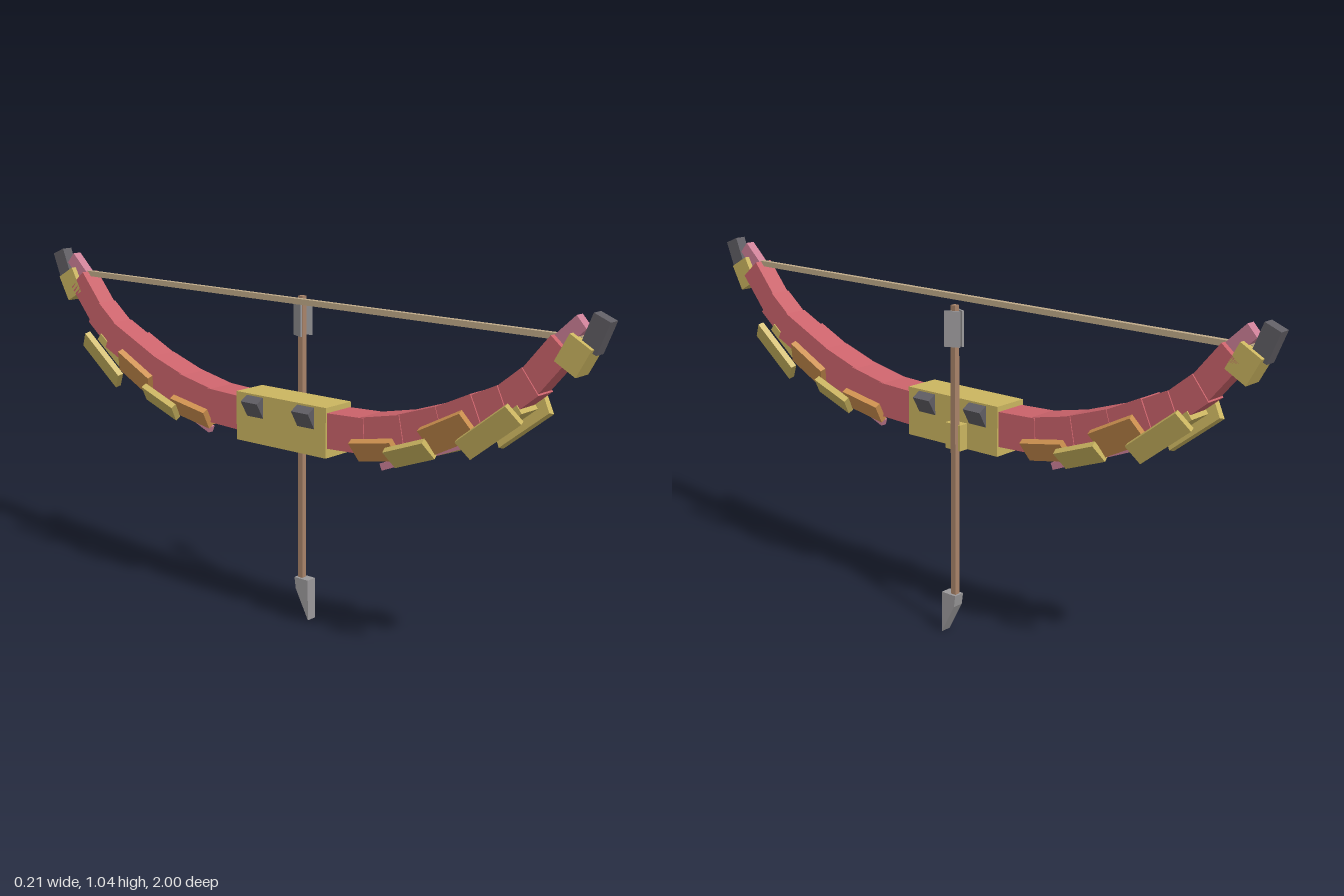
import * as THREE from 'three';

const mat = (name, color) => {
  const m = new THREE.MeshStandardMaterial({ color });
  m.name = name;
  return m;
};
const deg = THREE.MathUtils.degToRad;

export function createModel() {
  const red = mat('limb red', 0xcb636b);
  const gold = mat('armour gold', 0xcbb560);
  const orange = mat('armour orange', 0xcf9250);
  const iron = mat('dark iron', 0x605e64);
  const pink = mat('pink trim', 0xcd8097);
  const cord = mat('string tan', 0xbfaa88);
  const wood = mat('shaft brown', 0xa9846a);
  const steel = mat('pale steel', 0x9b999b);

  const root = new THREE.Group();
  root.name = 'bowAndArrow';

  // tilt lifts the +z end; roll leans the top toward +x
  const box = (parent, name, material, size, pos, tilt = 0, roll = 0) => {
    const mesh = new THREE.Mesh(new THREE.BoxGeometry(...size), material);
    mesh.name = name;
    mesh.position.set(...pos);
    mesh.rotation.set(-deg(tilt), 0, -deg(roll));
    parent.add(mesh);
    return mesh;
  };

  const bow = new THREE.Group();
  bow.name = 'bow';
  bow.position.x = -0.006;
  root.add(bow);

  // Grip with its studs and arrow rest
  box(bow, 'grip', gold, [0.11, 0.143, 0.335], [0, 0.627, 0]);
  box(bow, 'gripBase', pink, [0.045, 0.008, 0.1], [0, 0.555, 0]);
  box(bow, 'arrowRest', gold, [0.04, 0.075, 0.055], [0.065, 0.593, -0.03]);
  for (const m of [-1, 1]) {
    for (const z of [-0.095, 0.095]) {
      box(bow, 'gripStud', iron, [0.03, 0.055, 0.062], [m * 0.055, 0.662, z], 0, m * 30);
    }
  }

  // Limb centreline: z, y
  const line = [[0.14, 0.632], [0.285, 0.638], [0.41, 0.664], [0.53, 0.704],
    [0.64, 0.755], [0.715, 0.79], [0.79, 0.85], [0.87, 0.945]];
  // Width and thickness of each limb block
  const section = [[0.1, 0.1], [0.094, 0.1], [0.088, 0.1], [0.084, 0.096],
    [0.076, 0.09], [0.068, 0.082], [0.06, 0.075]];
  // Flank plates: z, y, x, tilt, roll, length, height
  const flanks = [
    [0.345, 0.612, 0.062, 10, 32, 0.14, 0.065],
    [0.465, 0.625, 0.071, 20, 35, 0.135, 0.06],
    [0.58, 0.698, 0.064, 27, 25, 0.145, 0.08],
    [0.712, 0.724, 0.078, 38, 20, 0.185, 0.06],
  ];
  // Belly plates: z, y, tilt
  const bellies = [[0.36, 0.594, 11], [0.49, 0.635, 19], [0.605, 0.688, 26], [0.725, 0.746, 38]];

  const makeLimb = (name) => {
    const limb = new THREE.Group();
    limb.name = name;
    section.forEach(([w, t], i) => {
      const [z0, y0] = line[i], [z1, y1] = line[i + 1];
      const len = Math.hypot(z1 - z0, y1 - y0) + 0.02;
      const tilt = Math.atan2(y1 - y0, z1 - z0) * 180 / Math.PI;
      box(limb, 'limbBlock', red, [w, t, len], [0, (y0 + y1) / 2, (z0 + z1) / 2], tilt);
    });
    flanks.forEach(([z, y, x, tilt, roll, len, h], i) => {
      for (const m of [-1, 1]) {
        box(limb, 'flankPlate', i % 2 ? gold : orange, [0.018, h, len], [m * x, y, z], tilt, m * roll);
      }
    });
    bellies.forEach(([z, y, tilt], i) => {
      box(limb, 'bellyPlate', i % 2 ? gold : orange, [0.075, 0.025, 0.12], [0, y, z], tilt);
    });
    box(limb, 'bellyRib', pink, [0.018, 0.02, 0.31], [0, 0.608, 0.467], 22);

    // Tip: gold collar, iron cap and string notch
    box(limb, 'tipCollar', gold, [0.06, 0.082, 0.07], [0, 0.934, 0.91], -29);
    box(limb, 'tipCap', iron, [0.034, 0.09, 0.05], [0, 0.99, 0.96], -22);
    box(limb, 'stringNotch', pink, [0.028, 0.042, 0.09], [0, 0.984, 0.888], 43);
    return limb;
  };
  const front = makeLimb('frontLimb');
  const back = makeLimb('backLimb');
  back.rotation.y = Math.PI;
  bow.add(front, back);

  box(bow, 'bowString', cord, [0.016, 0.016, 1.84], [0, 0.971, 0]);

  // Arrow hanging point down beside the grip
  const arrow = new THREE.Group();
  arrow.name = 'arrow';
  arrow.position.set(0.083, 0, -0.042);
  root.add(arrow);
  box(arrow, 'arrowShaft', wood, [0.017, 0.87, 0.017], [0, 0.535, 0]);

  // Wedge head: side outline (shape x becomes -z) extruded across x
  const outline = new THREE.Shape([[-0.038, 0], [0.01, 0.09], [0.015, 0.125], [-0.037, 0.125]]
    .map(([a, b]) => new THREE.Vector2(a, b)));
  const headGeo = new THREE.ExtrudeGeometry(outline, { depth: 0.034, bevelEnabled: false });
  headGeo.translate(0, 0, -0.017).rotateY(Math.PI / 2);
  const head = new THREE.Mesh(headGeo, steel);
  head.name = 'arrowHead';
  arrow.add(head);

  // Two vanes opening forward in a V
  for (const m of [-1, 1]) {
    const vane = box(arrow, 'arrowVane', steel, [0.006, 0.1, 0.046], [m * 0.015, 0.906, -0.004]);
    vane.rotation.y = m * deg(24);
  }
  return root;
}
